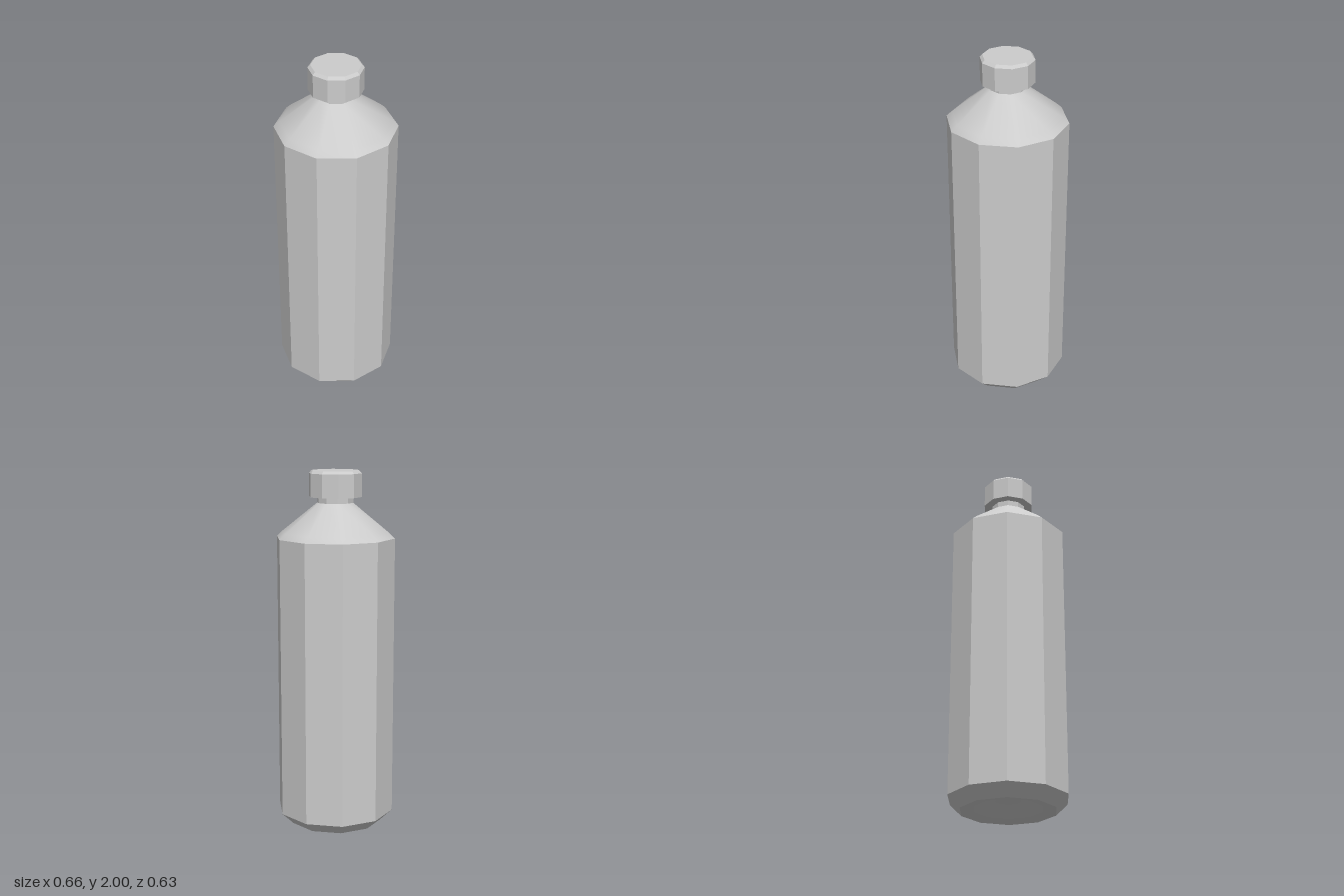
import * as THREE from 'three';
import { toCreasedNormals } from 'three/addons/utils/BufferGeometryUtils.js';

const SIDES = 10;

// Ten-sided turned part with a corner on the x axis; profile runs bottom to top as [radius, y]
function turned(name, profile, crease) {
  const points = profile.map(([r, y]) => new THREE.Vector2(r, y));
  const lathe = new THREE.LatheGeometry(points, SIDES, Math.PI / 2);
  const material = new THREE.MeshStandardMaterial({ color: 0xcccccc });
  const mesh = new THREE.Mesh(toCreasedNormals(lathe, crease), material);
  mesh.name = name;
  return mesh;
}

export function createModel() {
  const group = new THREE.Group();
  group.name = 'bottle';

  // Body: recessed base, chamfer, faceted wall, smooth shoulder and neck
  group.add(turned('body', [
    [0, 0.07], [0.09, 0.055], [0.18, 0.015], [0.265, 0],
    [0.332, 0.065],
    [0.332, 1.635],
    [0.3, 1.665], [0.1, 1.825],
    [0.1, 1.86],
  ], 0.55));

  // Screw cap: closed underside, faceted wall, bevelled top edge
  group.add(turned('cap', [
    [0, 1.857], [0.147, 1.857],
    [0.147, 1.985],
    [0.133, 2], [0, 2],
  ], 0.4));

  return group;
}
